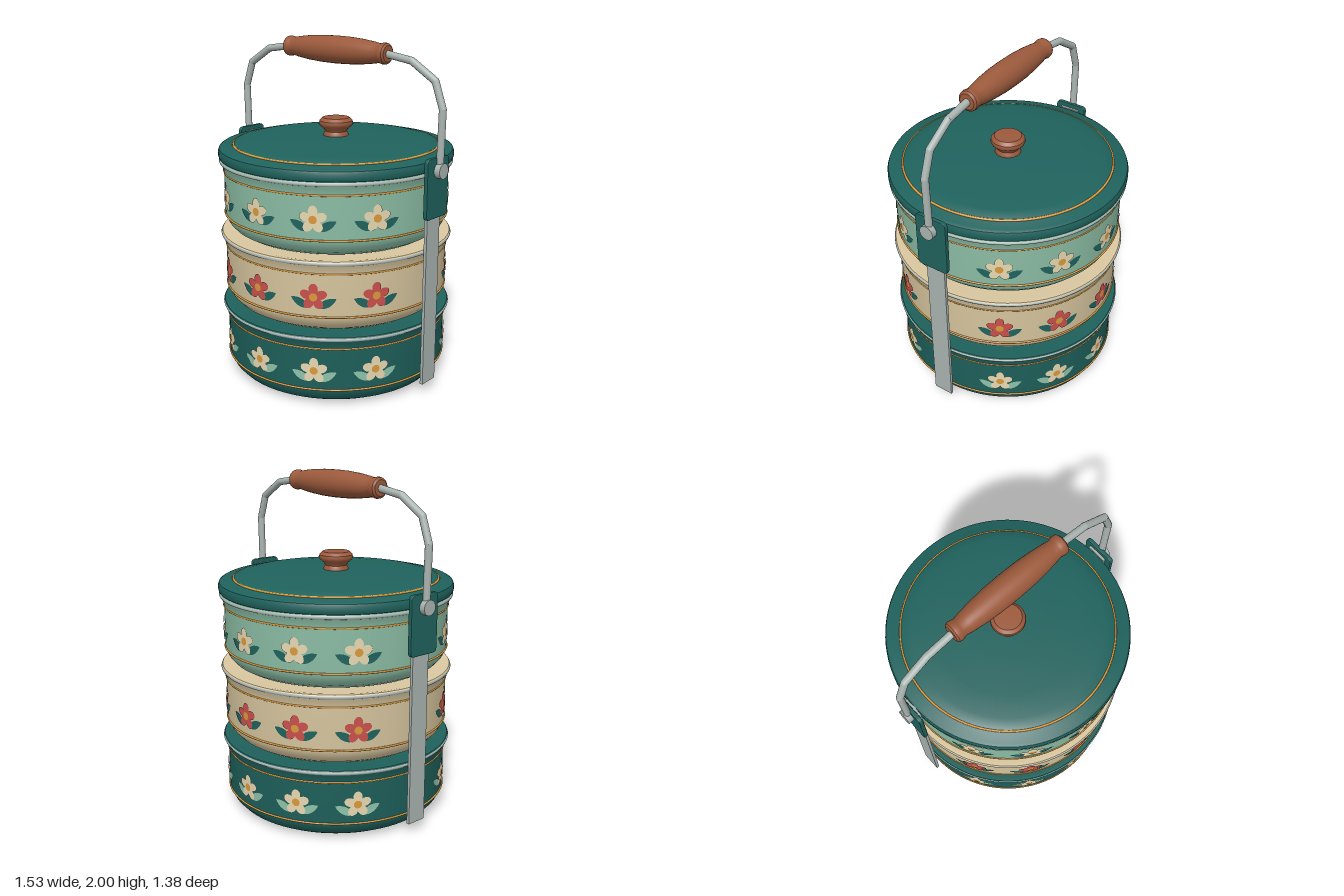
import * as THREE from 'three';
import { mergeGeometries, toCreasedNormals } from 'three/addons/utils/BufferGeometryUtils.js';

const mat = (name, color) => {
  const m = new THREE.MeshStandardMaterial({ color });
  m.name = name;
  return m;
};

export function createModel() {
  const teal = mat('teal enamel', 0x1f625d);
  const mint = mat('mint enamel', 0x8fc2a9);
  const cream = mat('cream enamel', 0xdccaa2);
  const petalCream = mat('pale petals', 0xf0e0b8);
  const red = mat('red petals', 0xc9504c);
  const gold = mat('gold', 0xd9993a);
  const wood = mat('wood', 0x9c5a3c);
  const steel = mat('steel', 0xa9b4b0);

  const model = new THREE.Group();
  model.name = 'tieredLunchCarrier';

  const add = (parent, name, geometry, material, x = 0, y = 0, z = 0) => {
    const mesh = new THREE.Mesh(geometry, material);
    mesh.name = name;
    mesh.position.set(x, y, z);
    parent.add(mesh);
    return mesh;
  };
  const lathe = (points, segments = 96) => toCreasedNormals(
    new THREE.LatheGeometry(points.map(([r, y]) => new THREE.Vector2(r, y)), segments), 0.6);
  const ring = (radius, tube) => new THREE.TorusGeometry(radius, tube, 8, 96).rotateX(Math.PI / 2);

  // Wraps flat geometry around the bowl wall at the given angle
  const wrap = (geometry, angle, radius) => {
    const p = geometry.attributes.position;
    for (let i = 0; i < p.count; i++) {
      const a = angle + p.getX(i) / radius;
      p.setXYZ(i, radius * Math.sin(a), p.getY(i), radius * Math.cos(a));
    }
    geometry.computeVertexNormals();
    return geometry;
  };

  // Flower pieces, drawn flat around the flower centre
  const petal = (k) => new THREE.CircleGeometry(1, 16).scale(0.026, 0.034, 1)
    .translate(0, 0.044, 0).rotateZ(k * Math.PI * 2 / 5);
  const leaf = (side) => {
    const s = new THREE.Shape();
    s.moveTo(0.02 * side, -0.06);
    s.bezierCurveTo(0.05 * side, -0.075, 0.1 * side, -0.065, 0.127 * side, -0.008);
    s.bezierCurveTo(0.09 * side, 0.0, 0.045 * side, -0.01, 0.02 * side, -0.06);
    return new THREE.ShapeGeometry(s, 10);
  };

  // Three stacked bowls
  const WALL = 0.66, STEP = 0.436;
  const bowlProfile = [[0, 0], [0.53, 0], [0.57, 0.007], [0.61, 0.03], [0.64, 0.063], [0.655, 0.095],
    [WALL, 0.12], [WALL, 0.35], [0.665, 0.38], [0.677, 0.405], [0.685, 0.428], [0.68, 0.437],
    [0.66, 0.437], [0.64, 0.433], [0, 0.433]];
  const tiers = [
    { name: 'bottomBowl', body: teal, petals: petalCream, leaves: mint },
    { name: 'middleBowl', body: cream, petals: red, leaves: teal },
    { name: 'topBowl', body: mint, petals: petalCream, leaves: teal },
  ];
  tiers.forEach((tier, i) => {
    const bowl = new THREE.Group();
    bowl.name = tier.name;
    bowl.position.y = i * STEP;
    model.add(bowl);
    add(bowl, 'bowlBody', lathe(bowlProfile), tier.body);
    add(bowl, 'steelRim', ring(0.677, 0.011), steel, 0, 0.422);
    for (const y of [0.11, 0.36]) add(bowl, 'goldStripe', ring(WALL, 0.006), gold, 0, y);

    // Ten flowers, leaving the two strap positions free
    const leaves = [], petals = [], centres = [];
    for (let k = 0; k < 12; k++) {
      if (k % 6 === 3) continue;
      const a = k * Math.PI / 6;
      for (const side of [-1, 1]) leaves.push(wrap(leaf(side), a, WALL + 0.004));
      for (let j = 0; j < 5; j++) petals.push(wrap(petal(j), a, WALL + 0.006));
      centres.push(wrap(new THREE.CircleGeometry(0.023, 16), a, WALL + 0.008));
    }
    add(bowl, 'flowerLeaves', mergeGeometries(leaves), tier.leaves, 0, 0.228).material.side = THREE.DoubleSide;
    add(bowl, 'flowerPetals', mergeGeometries(petals), tier.petals, 0, 0.228);
    add(bowl, 'flowerCentres', mergeGeometries(centres), gold, 0, 0.228);
  });

  // Lid with raised dome, gold line and turned knob
  add(model, 'lid', lathe([[0, 1.305], [0.675, 1.305], [0.686, 1.312], [0.691, 1.325], [0.691, 1.35],
    [0.685, 1.366], [0.67, 1.375], [0.61, 1.38], [0.595, 1.392], [0.54, 1.404], [0.42, 1.415],
    [0.22, 1.423], [0, 1.426]]), teal);
  add(model, 'lidGoldLine', ring(0.602, 0.007), gold, 0, 1.384);
  add(model, 'lidKnob', lathe([[0, 1.41], [0.075, 1.41], [0.074, 1.43], [0.064, 1.45], [0.07, 1.463],
    [0.095, 1.484], [0.1, 1.497], [0.097, 1.512], [0.078, 1.53], [0, 1.533]], 32), wood);

  // Side straps, brackets and pivots
  const w = 0.1, h = 0.17, c = 0.03;
  const plate = new THREE.Shape();
  plate.moveTo(-w + c, -h);
  plate.lineTo(w - c, -h);
  plate.quadraticCurveTo(w, -h, w, -h + c);
  plate.lineTo(w, h - c);
  plate.quadraticCurveTo(w, h, w - c, h);
  plate.lineTo(-w + c, h);
  plate.quadraticCurveTo(-w, h, -w, h - c);
  plate.lineTo(-w, -h + c);
  plate.quadraticCurveTo(-w, -h, -w + c, -h);
  const plateGeo = new THREE.ExtrudeGeometry(plate, { depth: 0.014, bevelEnabled: true,
    bevelThickness: 0.006, bevelSize: 0.006, bevelOffset: -0.006, bevelSegments: 2 })
    .translate(0, 0, -0.007).rotateY(Math.PI / 2);
  for (const side of [-1, 1]) {
    add(model, 'sideStrap', new THREE.BoxGeometry(0.018, 1.305, 0.12), steel, side * 0.696, 0.7175);
    add(model, 'sideBracket', plateGeo, teal, side * 0.715, 1.226);
    add(model, 'pivot', new THREE.CylinderGeometry(0.043, 0.043, 0.08, 24).rotateZ(Math.PI / 2),
      steel, side * 0.723, 1.323);
  }

  // Bent wire bail: straight rods with rounded joints
  const bail = new THREE.Group();
  bail.name = 'bailHandle';
  model.add(bail);
  const half = [[0.735, 1.323], [0.742, 1.655], [0.69, 1.8], [0.535, 1.895], [0.35, 1.922]];
  const path = [...half.map(([x, y]) => new THREE.Vector3(-x, y, 0)),
    ...half.map(([x, y]) => new THREE.Vector3(x, y, 0)).reverse()];
  const up = new THREE.Vector3(0, 1, 0);
  for (let i = 0; i < path.length - 1; i++) {
    const dir = path[i + 1].clone().sub(path[i]);
    const mid = path[i].clone().addScaledVector(dir, 0.5);
    const rod = add(bail, 'wireRod', new THREE.CylinderGeometry(0.021, 0.021, dir.length(), 16), steel, mid.x, mid.y);
    rod.quaternion.setFromUnitVectors(up, dir.normalize());
    if (i) add(bail, 'wireJoint', new THREE.SphereGeometry(0.021, 16, 10), steel, path[i].x, path[i].y);
  }

  // Turned wooden grip
  const gripHalf = [[0, 0.375], [0.045, 0.375], [0.057, 0.366], [0.06, 0.35], [0.056, 0.332],
    [0.053, 0.318], [0.06, 0.28], [0.07, 0.2], [0.077, 0.1]];
  const grip = [...gripHalf.map(([r, y]) => [r, -y]), [0.079, 0], ...gripHalf.slice().reverse()];
  add(bail, 'woodenGrip', lathe(grip, 32).rotateZ(Math.PI / 2), wood, 0, 1.921);

  return model;
}
